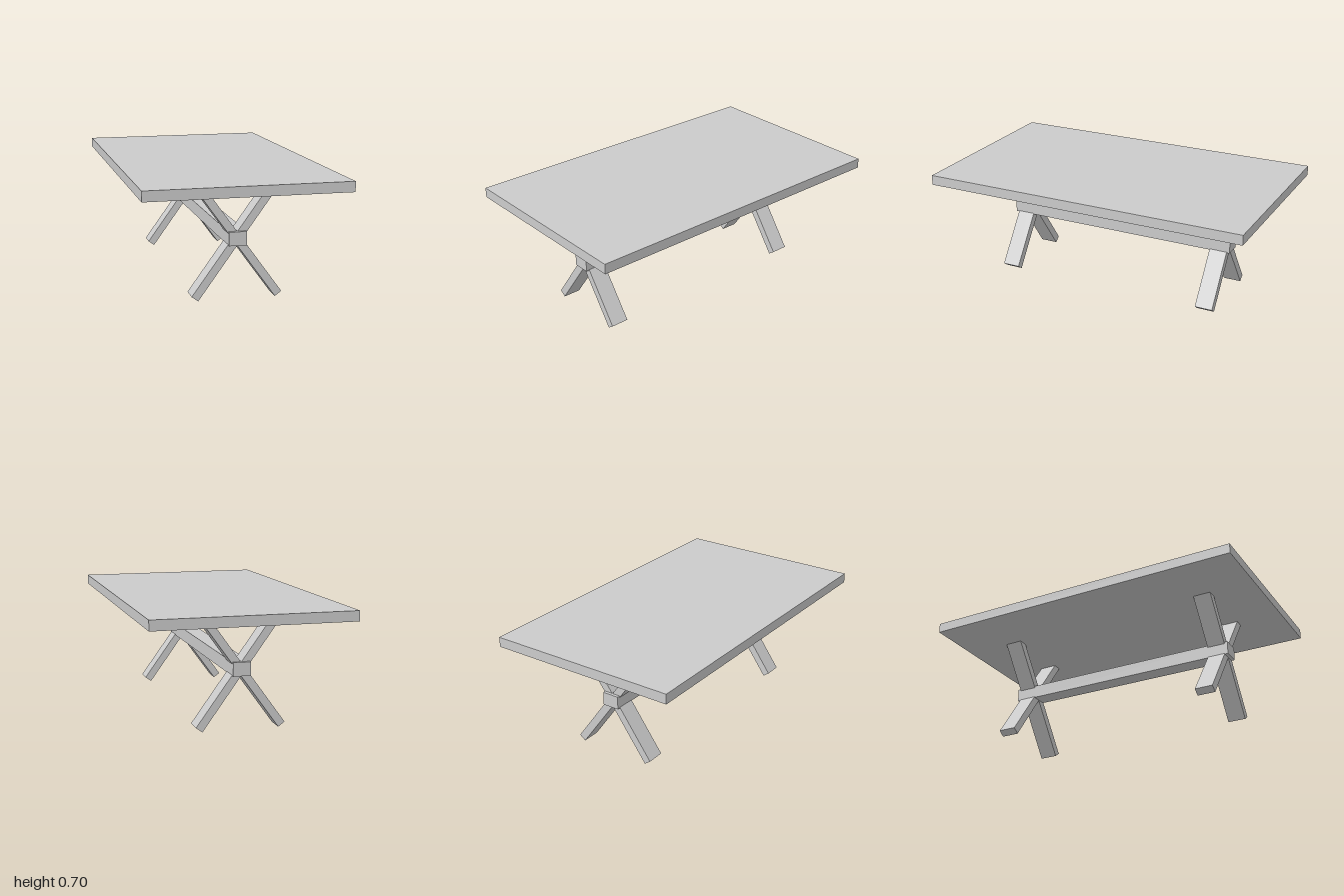
import * as THREE from 'three';

export function createModel() {
  const group = new THREE.Group();
  const material = new THREE.MeshStandardMaterial({ color: 0xcccccc, flatShading: true });

  const addBox = (name, w, h, d, x, y, z) => {
    const mesh = new THREE.Mesh(new THREE.BoxGeometry(w, h, d), material);
    mesh.name = name;
    mesh.position.set(x, y, z);
    group.add(mesh);
    return mesh;
  };

  // Slab top and the long stretcher joining the two crossed trestles
  addBox('tabletop', 1.174, 0.06, 2, 0, 0.671, 0);
  addBox('stretcher', 0.104, 0.08, 1.484, 0, 0.354, 0.004);

  // Crossed legs: each bar runs from the floor up into the tabletop
  const crossY = 0.351, tilt = THREE.MathUtils.degToRad(54.1);
  const lower = 0.416, upper = 0.4;
  for (const z of [0.672, -0.665]) {
    for (const side of [1, -1]) {
      const shift = (upper - lower) / 2;
      const leg = addBox('crossLeg', lower + upper, 0.0466, 0.109,
        side * shift * Math.cos(tilt), crossY + shift * Math.sin(tilt), z);
      leg.rotation.z = side * tilt;
    }
  }
  return group;
}
